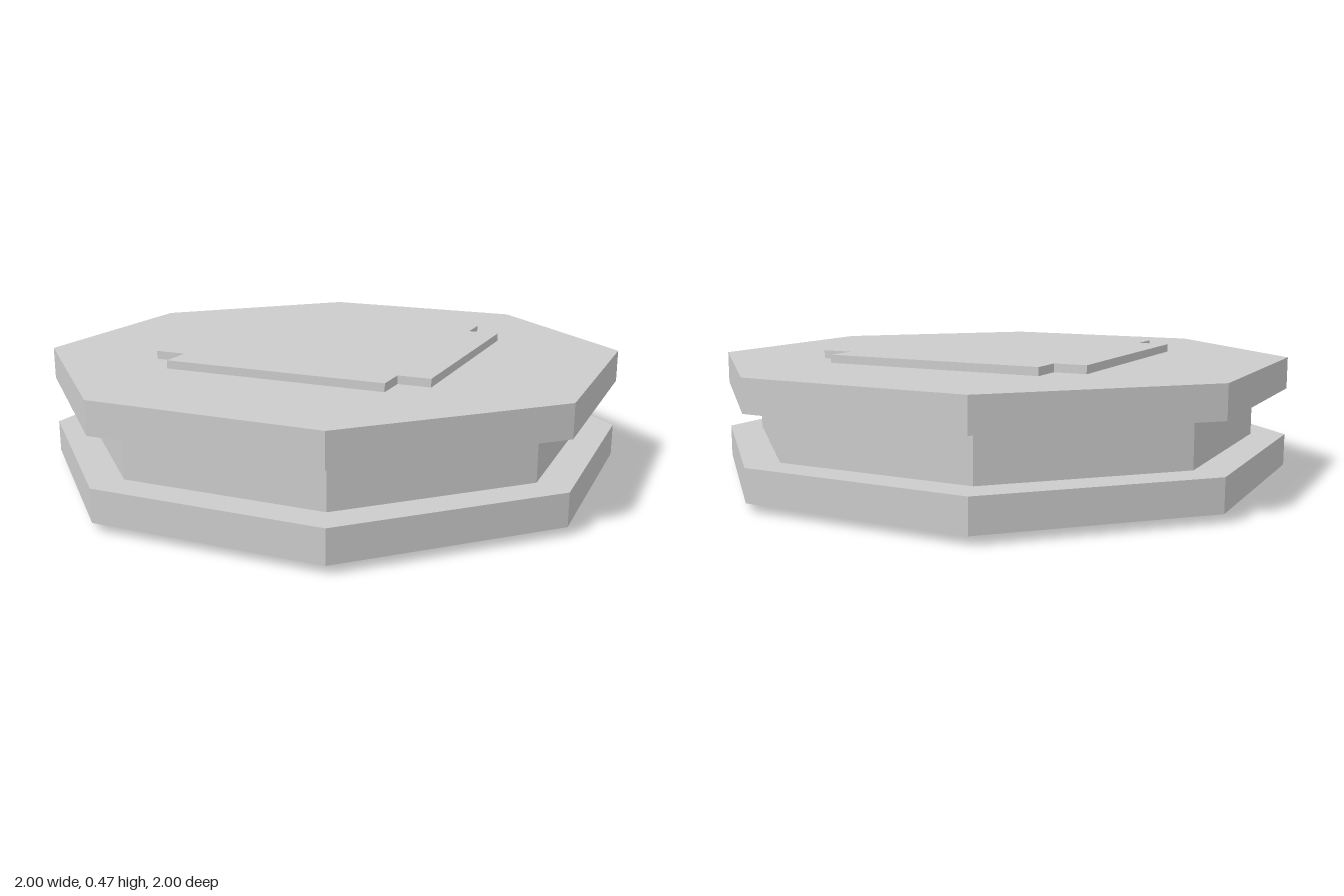
import * as THREE from 'three';

const U = 1 / 17; // base unit: the outer discs have an apothem of 17 units

const material = new THREE.MeshStandardMaterial({ color: 0xcccccc, flatShading: true });

function addMesh(group, name, geometry, y) {
  const mesh = new THREE.Mesh(geometry, material);
  mesh.name = name;
  mesh.position.y = y;
  group.add(mesh);
}

// Octagonal slab with flat sides facing the axes
function octagon(apothem, height) {
  const radius = apothem / Math.cos(Math.PI / 8);
  return new THREE.CylinderGeometry(radius, radius, height, 8).rotateY(Math.PI / 8);
}

// Square plate with notched corners, lying flat and centred on its height
function notchedPlate(outer, inner, height) {
  const points = [];
  for (let i = 0; i < 4; i++) {
    const corner = [[outer, inner], [inner, inner], [inner, outer]];
    for (const [x, y] of corner) {
      points.push(new THREE.Vector2(x, y).rotateAround(new THREE.Vector2(), i * Math.PI / 2));
    }
  }
  return new THREE.ExtrudeGeometry(new THREE.Shape(points), { depth: height, bevelEnabled: false })
    .translate(0, 0, -height / 2)
    .rotateX(-Math.PI / 2);
}

export function createModel() {
  const group = new THREE.Group();
  group.name = 'octagonalSpool';
  const middle = 4 * U;

  // Recessed core between the discs
  addMesh(group, 'core', octagon(15 * U, 3 * U), middle);

  // Mirrored discs and raised pads
  for (const [side, sign] of [['upper', 1], ['lower', -1]]) {
    addMesh(group, side + 'Disc', octagon(17 * U, 2 * U), middle + sign * 2.5 * U);
    addMesh(group, side + 'Pad', notchedPlate(9 * U, 7 * U, 0.5 * U), middle + sign * 3.75 * U);
  }
  return group;
}
